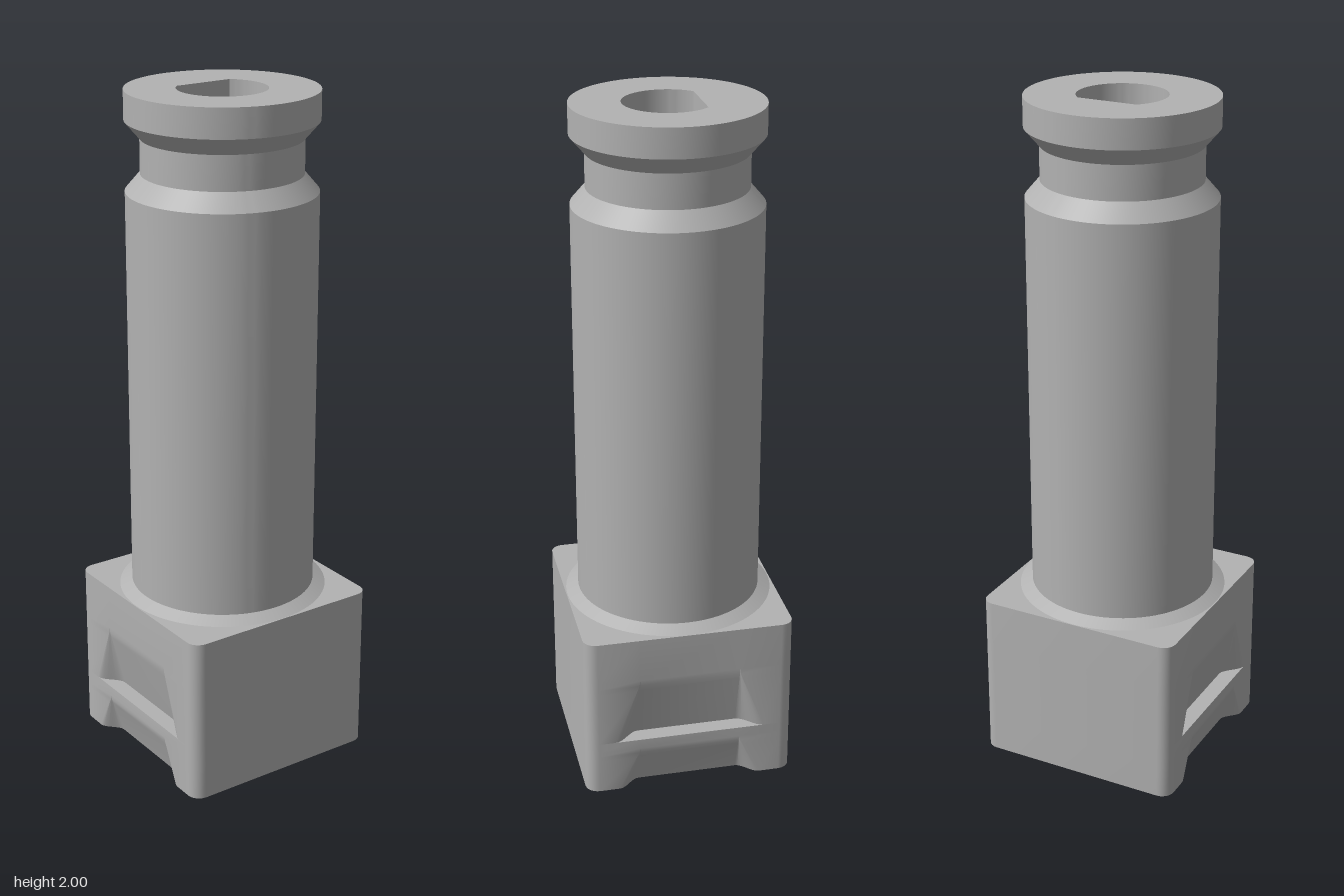
import * as THREE from 'three';
import { toCreasedNormals } from 'three/addons/utils/BufferGeometryUtils.js';

const deg = Math.PI / 180;
const TURN = 18 * deg; // the square base is turned about the shaft axis

// Skin consecutive rings of [x, y, z] points that share one point count
function loft(rings) {
  const n = rings[0].length;
  const index = [];
  for (let j = 0; j < rings.length - 1; j++) {
    for (let i = 0; i < n; i++) {
      const a = j * n + i, b = j * n + (i + 1) % n;
      index.push(a, b, b + n, a, b + n, a + n);
    }
  }
  const geo = new THREE.BufferGeometry();
  geo.setAttribute('position', new THREE.Float32BufferAttribute(rings.flat(2), 3));
  geo.setIndex(index);
  return toCreasedNormals(geo, 0.5);
}

// Ring whose radius may depend on the angle measured from the socket flat
function polarRing(y, radius) {
  const ring = [];
  for (let i = 0; i < 90; i++) {
    const a = i * 4 * deg, t = a + Math.PI + TURN;
    const r = typeof radius === 'function' ? radius(a) : radius;
    ring.push([r * Math.sin(t), y, r * Math.cos(t)]);
  }
  return ring;
}

// Rounded square ring; the two opposite grip sides are sunk by depth
function baseRing(y, depth) {
  const h = 0.313, r = 0.038, floorHalf = 0.15, jamb = 1.5 * depth, steps = 8;
  const ring = [];
  for (let k = 0; k < 4; k++) {
    const a = TURN + k * Math.PI / 2;
    const s = Math.sin(a), c = Math.cos(a);
    const add = (along, out) => ring.push([s * out + c * along, y, c * out - s * along]);
    if (k % 2) {
      for (const side of [-1, 1]) {
        for (let i = 0; i <= steps; i++) {
          const u = (side < 0 ? i : steps - i) / steps;
          add(side * (floorHalf + jamb * (1 - u)), h - depth * u * u * (3 - 2 * u));
        }
      }
    }
    for (let i = 0; i <= 6; i++) {
      const q = i * 15 * deg;
      add(h - r + r * Math.sin(q), h - r + r * Math.cos(q));
    }
  }
  return ring;
}

export function createModel() {
  const group = new THREE.Group();
  const grey = new THREE.MeshStandardMaterial({ color: 0xb2b2b2 });
  grey.name = 'plain grey';
  const add = (name, rings) => {
    const mesh = new THREE.Mesh(loft(rings), grey);
    mesh.name = name;
    group.add(mesh);
  };

  // Square base: [height, grip depth], two wedge-shaped finger grips per side
  const levels = [
    [0, 0.043], [0.105, 0.008], [0.12, 0.002], [0.135, 0], [0.165, 0],
    [0.165, 0.05], [0.335, 0.006], [0.352, 0.002], [0.37, 0], [0.505, 0],
  ];
  const outline = levels.map(([y, d]) => baseRing(y, d));
  const centre = (y) => outline[0].map(() => [0, y, 0]);
  add('base', [centre(0), ...outline, centre(0.505)]);

  // Round shaft with a foot flare, retaining groove and head
  const socket = (a) => (Math.cos(a) > 0 ? Math.min(0.128, 0.092 / Math.cos(a)) : 0.128);
  const profile = [
    [0.31, 0.505], [0.273, 0.525], [0.273, 1.715], [0.23, 1.765],
    [0.23, 1.865], [0.273, 1.915], [0.273, 2], [socket, 2],
  ];
  add('shaft', profile.map(([r, y]) => polarRing(y, r)));

  // Blind D-shaped socket in the head
  add('socket', [polarRing(2, socket), polarRing(1.5, socket), polarRing(1.5, 0)]);

  return group;
}
